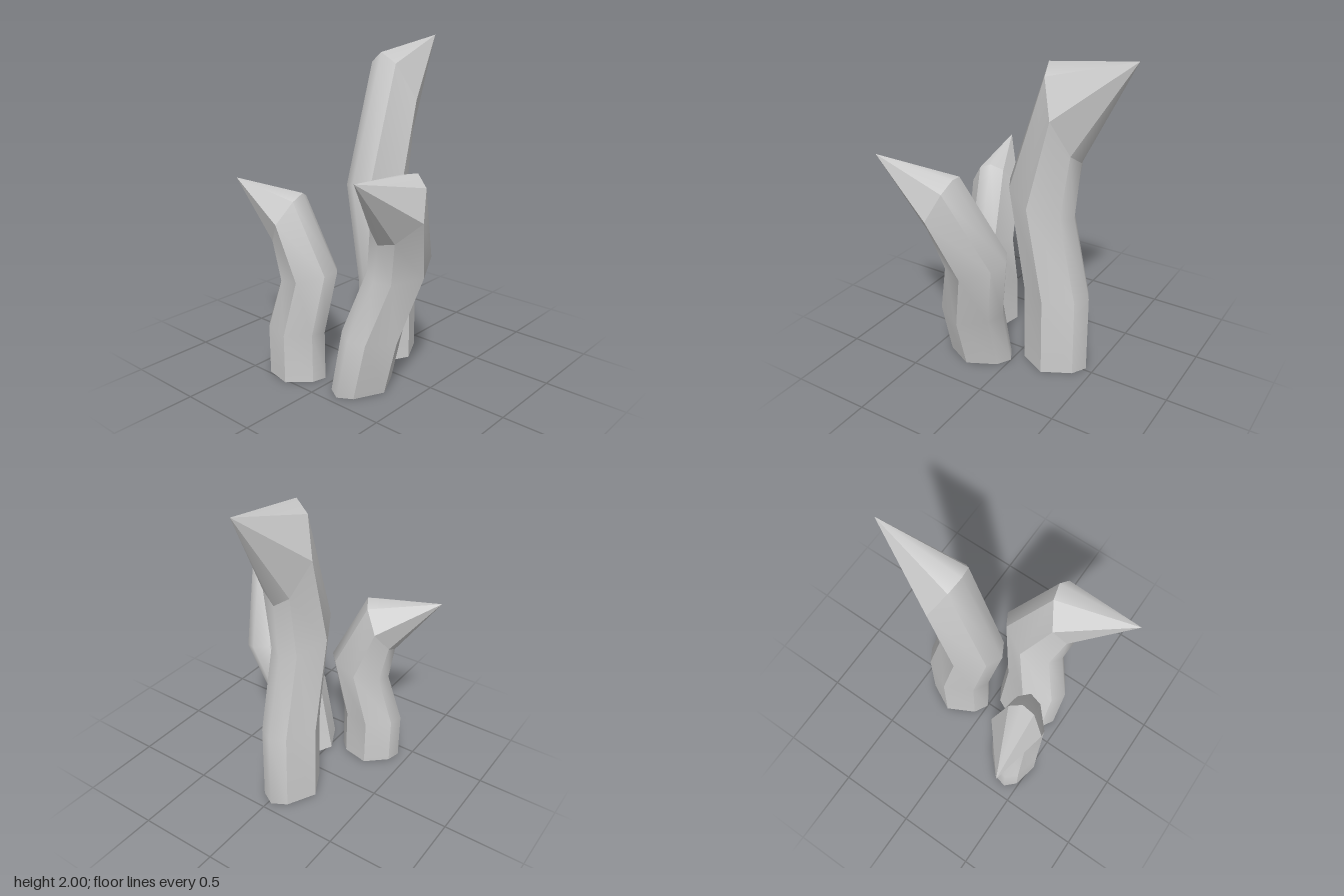
import * as THREE from 'three';
import { mergeGeometries } from 'three/addons/utils/BufferGeometryUtils.js';

// Eight-sided outline: [sideways offset, share of the ring's depth vector]
const OUTLINE = [
  [0, 1], [0.09, 0.775], [0.18, 0], [0.09, -0.775],
  [0, -1], [-0.09, -0.775], [-0.18, 0], [-0.09, 0.775],
];
// Rings from the ground up: centre (y, z) and depth vector (dy, dz) to the rear corner
const RINGS = [
  { y: 0, z: 0, dy: 0, dz: -0.225 },
  { y: 0.51, z: 0, dy: 0, dz: -0.225 },
  { y: 1.1, z: -0.11, dy: 0.08, dz: -0.22 },
  { y: 1.655, z: 0.035, dy: 0.275, dz: -0.11 },
];
const TIP = [0, 2, 0.455];
// Neighbouring corners that share one smooth panel
const PANELS = [[7, 0, 1], [1, 2], [2, 3], [3, 4, 5], [5, 6], [6, 7]];

function surface(points, index) {
  const g = new THREE.BufferGeometry();
  g.setAttribute('position', new THREE.Float32BufferAttribute(points.flatMap((p) => p.toArray()), 3));
  g.setIndex(index);
  g.computeVertexNormals();
  return g.toNonIndexed();
}

// A bent claw that leans toward its local +z and ends in a point
function clawGeometry({ x, z, yaw = 0, tilt = 0, width = 1, height = 1, lift = 0 }) {
  const matrix = new THREE.Matrix4().compose(
    new THREE.Vector3(x, lift, z),
    new THREE.Quaternion().setFromEuler(new THREE.Euler(0, yaw, tilt)),
    new THREE.Vector3(width, height, width),
  );
  const place = (px, py, pz) => new THREE.Vector3(px, py, pz).applyMatrix4(matrix);
  const rows = RINGS.map((r) => OUTLINE.map(([s, d]) => place(s, r.y + r.dy * d, r.z + r.dz * d)));
  rows[0].forEach((p) => { p.y = 0; }); // flat foot
  const tip = place(...TIP);
  const parts = [];

  for (const cols of PANELS) {
    // Shaft panel
    const n = cols.length;
    const index = [];
    for (let i = 0; i < rows.length - 1; i++) {
      for (let j = 0; j < n - 1; j++) {
        const a = i * n + j, b = a + 1, c = b + n, d = a + n;
        index.push(a, d, c, a, c, b);
      }
    }
    parts.push(surface(rows.flatMap((row) => cols.map((k) => row[k])), index));

    // Matching facet of the point
    const rim = cols.map((k) => rows[3][k]);
    const fan = [];
    for (let j = 0; j < n - 1; j++) fan.push(j, n, j + 1);
    parts.push(surface([...rim, tip], fan));
  }

  // Underside
  const base = [];
  for (let j = 1; j < 7; j++) base.push(0, j, j + 1);
  parts.push(surface(rows[0], base));
  return mergeGeometries(parts);
}

export function createModel() {
  const group = new THREE.Group();
  group.name = 'clawCluster';
  const material = new THREE.MeshStandardMaterial({ color: 0xcccccc });
  const claws = {
    tallRearClaw: { x: -0.02, z: -0.225, yaw: Math.PI },
    shortRightClaw: { x: -0.243, z: 0.373, yaw: -1.306, width: 0.857, height: 0.6 },
    tiltedLeftClaw: { x: 0.153, z: 0.225, tilt: -0.253, height: 0.697, lift: 0.043 },
  };
  for (const [name, options] of Object.entries(claws)) {
    const mesh = new THREE.Mesh(clawGeometry(options), material);
    mesh.name = name;
    group.add(mesh);
  }
  return group;
}
